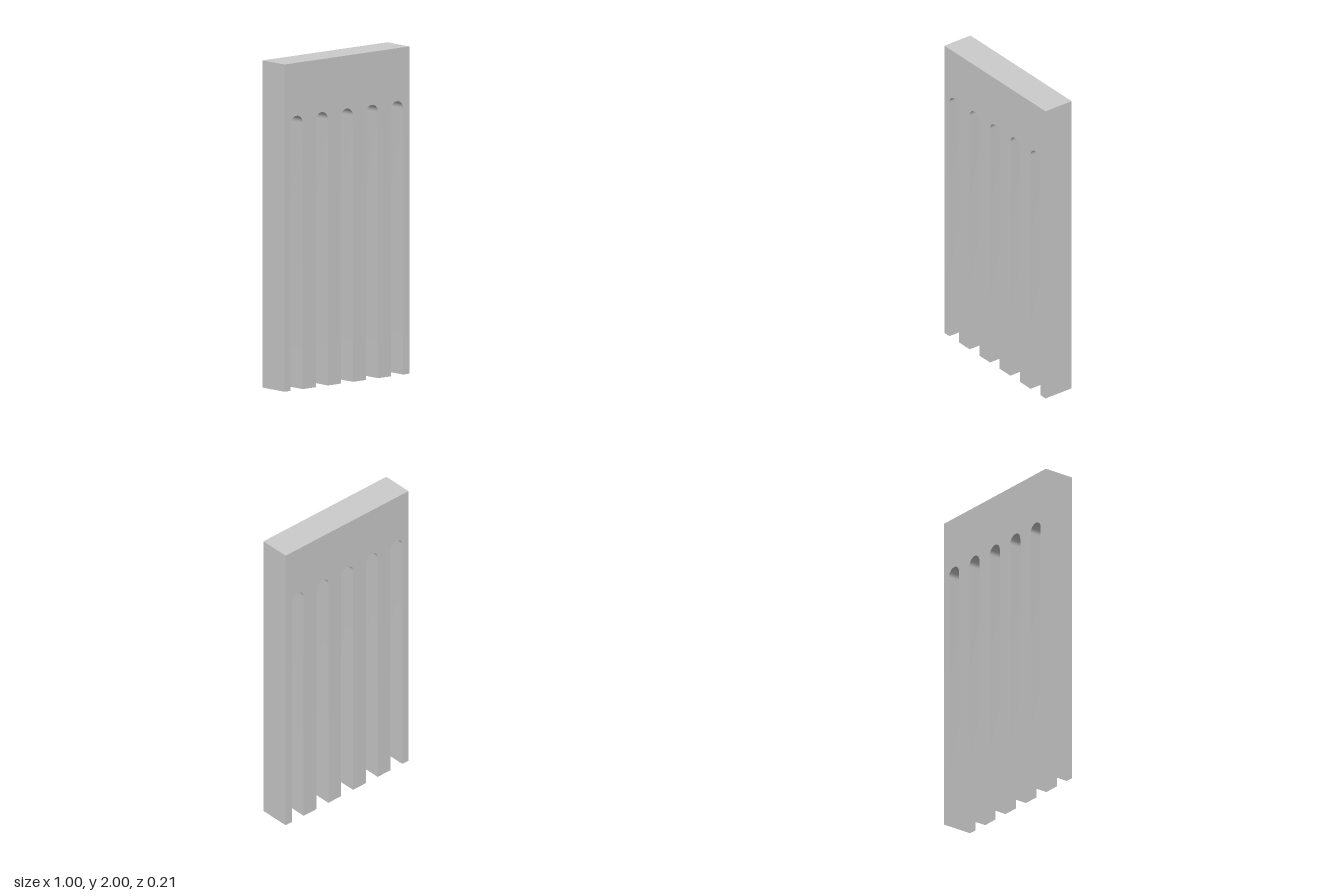
import * as THREE from 'three';
import { toCreasedNormals } from 'three/addons/utils/BufferGeometryUtils.js';

const WIDTH = 0.997, HEIGHT = 2, DEPTH = 0.2;
const SLOTS = 5, SPACING = 0.2, RADIUS = 0.048, SPRING = 1.628;

// Drop the triangles lying on the ground, leaving the posts open underneath
function openBottom(geometry) {
  const p = geometry.attributes.position;
  const kept = [];
  for (let i = 0; i < p.count; i += 3) {
    if ([0, 1, 2].every(k => Math.abs(p.getY(i + k)) < 1e-5)) continue;
    for (let k = 0; k < 3; k++) kept.push(p.getX(i + k), p.getY(i + k), p.getZ(i + k));
  }
  const open = new THREE.BufferGeometry();
  open.setAttribute('position', new THREE.Float32BufferAttribute(kept, 3));
  return open;
}

export function createModel() {
  const group = new THREE.Group();
  group.name = 'archedScreen';

  // Outline: a slab cut from below by round-headed slots
  const shape = new THREE.Shape();
  shape.moveTo(WIDTH / 2, 0);
  shape.lineTo(WIDTH / 2, HEIGHT);
  shape.lineTo(-WIDTH / 2, HEIGHT);
  shape.lineTo(-WIDTH / 2, 0);
  for (let i = 0; i < SLOTS; i++) {
    const x = (i - (SLOTS - 1) / 2) * SPACING;
    shape.lineTo(x - RADIUS, 0);
    shape.lineTo(x - RADIUS, SPRING);
    shape.absarc(x, SPRING, RADIUS, Math.PI, 0, true);
    shape.lineTo(x + RADIUS, 0);
  }
  shape.closePath();

  const slab = new THREE.ExtrudeGeometry(shape, { depth: DEPTH, bevelEnabled: false, curveSegments: 16 });
  slab.translate(0, 0, -DEPTH / 2);

  const material = new THREE.MeshStandardMaterial({ color: 0xcccccc, side: THREE.DoubleSide });
  const panel = new THREE.Mesh(toCreasedNormals(openBottom(slab), 0.6), material);
  panel.name = 'slottedPanel';
  panel.rotation.y = -0.0065; // very slight turn
  group.add(panel);
  return group;
}
